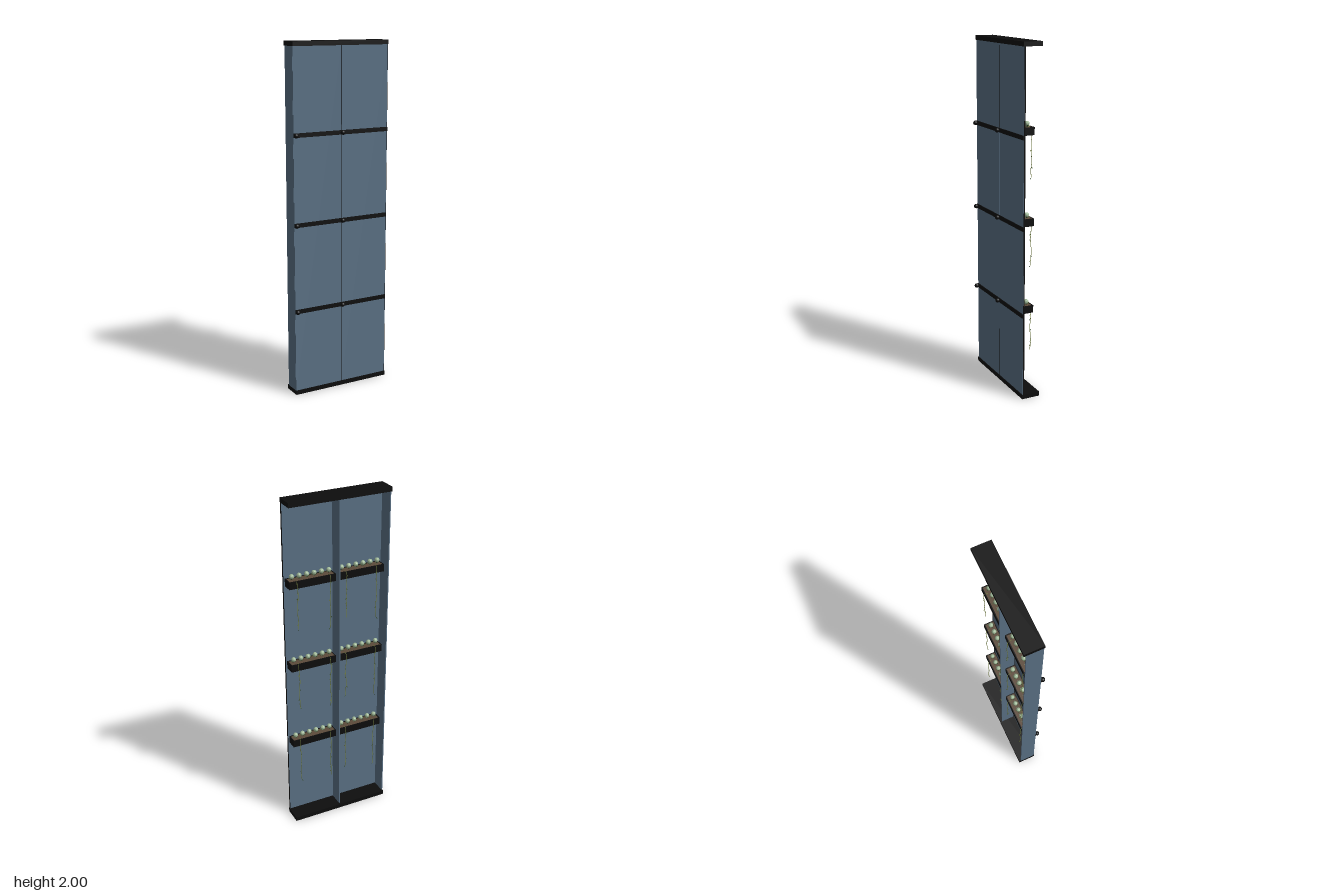
import * as THREE from 'three';

const mat = (name, color, side = THREE.FrontSide) => {
  const m = new THREE.MeshStandardMaterial({ color, side });
  m.name = name;
  return m;
};

export function createModel() {
  const black = mat('blackMetal', 0x0d0d0d);
  const blue = mat('bluePanel', 0x5a7084);
  const soil = mat('soil', 0x5c4a3a);
  const bloom = mat('paleGreenPlant', 0x9fb897);
  const leafMat = mat('darkGreenLeaf', 0x3f5a35, THREE.DoubleSide);
  const vineMat = mat('oliveVine', 0x76823f);
  bloom.flatShading = true;

  const root = new THREE.Group();
  root.name = 'plantScreen';

  const add = (parent, name, geo, m, x = 0, y = 0, z = 0) => {
    const mesh = new THREE.Mesh(geo, m);
    mesh.name = name;
    mesh.position.set(x, y, z);
    parent.add(mesh);
    return mesh;
  };
  // Box given by its limits on each axis
  const box = (parent, name, m, x0, x1, y0, y1, z0, z1) =>
    add(parent, name, new THREE.BoxGeometry(x1 - x0, y1 - y0, z1 - z0), m,
      (x0 + x1) / 2, (y0 + y1) / 2, (z0 + z1) / 2);

  // Base and cap plates
  box(root, 'basePlate', black, -0.3, 0.3, 0, 0.025, -0.067, 0.042);
  box(root, 'capPlate', black, -0.3, 0.3, 1.975, 2, -0.067, 0.042);

  // Two bays: front sheet, return fin on the -x side, dark edge on the +x side
  for (const x0 of [-0.3, 0]) {
    const bay = new THREE.Group();
    bay.name = 'panelBay';
    root.add(bay);
    box(bay, 'frontPanel', blue, x0 + 0.001, x0 + 0.297, 0.025, 1.975, 0.031, 0.038);
    box(bay, 'returnPanel', blue, x0, x0 + 0.006, 0.025, 1.975, -0.055, 0.034);
    box(bay, 'edgeTrim', black, x0 + 0.297, x0 + 0.3, 0.025, 1.975, 0.03, 0.037);
  }

  // Shared plant shapes
  const bloomGeo = new THREE.IcosahedronGeometry(0.014, 1);
  const leafShape = new THREE.Shape();
  leafShape.moveTo(0, 0);
  leafShape.quadraticCurveTo(0.006, 0.009, 0, 0.02);
  leafShape.quadraticCurveTo(-0.006, 0.009, 0, 0);
  const leafGeo = new THREE.ShapeGeometry(leafShape, 4);
  const knobGeo = new THREE.SphereGeometry(0.013, 20, 14);
  const neckGeo = new THREE.CylinderGeometry(0.007, 0.007, 0.02, 12).rotateX(Math.PI / 2);

  // Hanging vine with alternating leaves
  const addVine = (parent, x, y, length, phase) => {
    const vine = new THREE.Group();
    vine.name = 'vine';
    parent.add(vine);
    const pts = [new THREE.Vector3(x, y + 0.05, -0.012), new THREE.Vector3(x, y + 0.054, -0.028)];
    for (let i = 0; i <= 6; i++) {
      pts.push(new THREE.Vector3(x + 0.003 * Math.sin(i * 1.7 + phase),
        y + 0.035 - (length + 0.035) * i / 6, -0.035 + 0.002 * Math.cos(i * 2 + phase)));
    }
    const curve = new THREE.CatmullRomCurve3(pts);
    add(vine, 'vineStem', new THREE.TubeGeometry(curve, 28, 0.0016, 5), vineMat);
    for (let i = 0; i < 9; i++) {
      const p = curve.getPoint(0.3 + 0.7 * i / 8);
      const leaf = add(vine, 'vineLeaf', leafGeo, i % 2 ? vineMat : leafMat, p.x, p.y, p.z);
      leaf.rotation.set(0, i * 1.9 + phase, i % 2 ? 2.5 : -2.5);
      leaf.scale.setScalar(0.7);
    }
  };

  // Tiers: rail with knobs in front, planters with plants behind
  [0.5, 1, 1.5].forEach((y, tier) => {
    const level = new THREE.Group();
    level.name = 'tier';
    root.add(level);
    box(level, 'rail', black, -0.298, 0.298, y - 0.012, y + 0.012, 0.034, 0.043);
    for (const x of [-0.29, 0.001]) {
      add(level, 'knobNeck', neckGeo, black, x, y, 0.042);
      add(level, 'knob', knobGeo, black, x, y, 0.052);
    }
    for (const cx of [-0.145, 0.152]) {
      const planter = new THREE.Group();
      planter.name = 'planter';
      level.add(planter);
      const a = cx - 0.137, b = cx + 0.137, y0 = y + 0.01, y1 = y + 0.053;
      // Trough floor, walls and soil
      box(planter, 'troughFloor', black, a, b, y0, y0 + 0.006, -0.03, 0.031);
      box(planter, 'troughBack', black, a, b, y0, y1, -0.03, -0.025);
      box(planter, 'troughFront', black, a, b, y0, y1, 0.026, 0.031);
      box(planter, 'troughEnd', black, a, a + 0.005, y0, y1, -0.025, 0.026);
      box(planter, 'troughEnd', black, b - 0.005, b, y0, y1, -0.025, 0.026);
      box(planter, 'soil', soil, a + 0.005, b - 0.005, y0 + 0.006, y1 - 0.002, -0.025, 0.026);
      // Row of rounded plants with leaf tufts
      for (let i = 0; i < 6; i++) {
        const x = cx + (i - 2.5) * 0.044;
        const plant = add(planter, 'plant', bloomGeo, bloom, x, y + 0.071, 0.002);
        plant.rotation.y = i * 1.3;
        for (let k = 0; k < 5; k++) {
          const leaf = add(planter, 'tuftLeaf', leafGeo, leafMat, x, y + 0.052, 0.002);
          leaf.rotation.set(0.95, k * 1.257 + i, 0, 'YXZ');
          leaf.scale.setScalar(1.2);
        }
      }
    }
    [[0.245, 0.23], [0.05, 0.26], [-0.047, 0.22], [-0.235, 0.26]].forEach(([x, len], i) =>
      addVine(level, x, y, len, i * 1.4 + tier));
  });
  return root;
}
